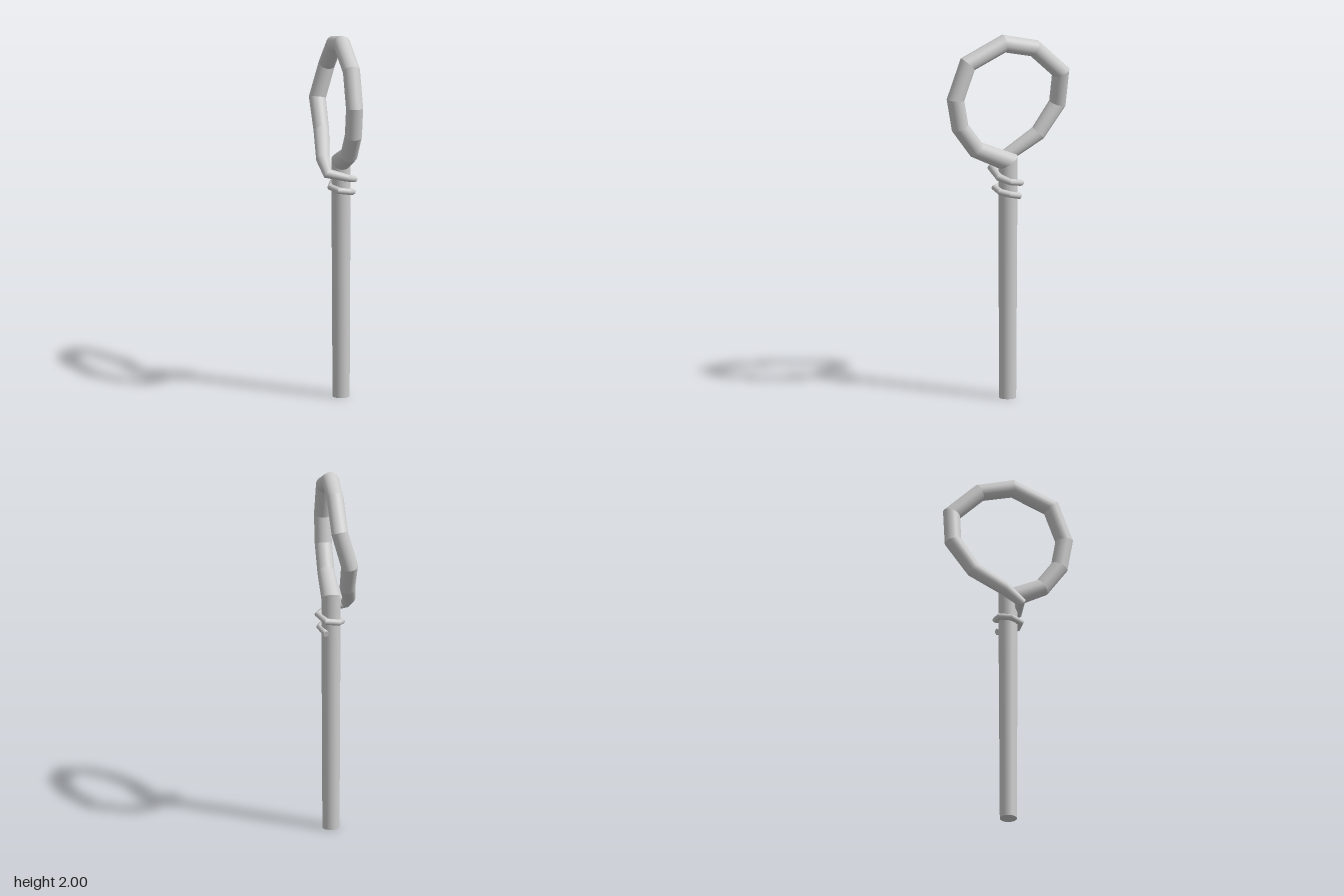
import * as THREE from 'three';

const SIDES = 32;

// Round bar through a list of [x, y, z, radius], with mitred corners and flat end caps
function mitredBar(path, material) {
  const pts = path.map(([x, y, z]) => new THREE.Vector3(x, y, z));
  const dirs = pts.slice(1).map((p, i) => p.clone().sub(pts[i]).normalize());
  const pos = [], nor = [], idx = [];

  // Cut plane at each point: halfway between the neighbouring directions
  const planes = pts.map((_, i) =>
    (dirs[i - 1] || dirs[i]).clone().add(dirs[i] || dirs[i - 1]).normalize());

  const side = new THREE.Vector3(1, 0, 0);
  side.addScaledVector(dirs[0], -side.dot(dirs[0])).normalize();

  dirs.forEach((d, s) => {
    // Carry the frame round the corner so that the segments line up
    if (s) side.applyQuaternion(new THREE.Quaternion().setFromUnitVectors(dirs[s - 1], d));
    const up = d.clone().cross(side);
    const base = pos.length / 3;
    for (const e of [s, s + 1]) {
      for (let k = 0; k <= SIDES; k++) {
        const a = (k / SIDES) * Math.PI * 2;
        const u = side.clone().multiplyScalar(Math.cos(a)).addScaledVector(up, Math.sin(a));
        const r = path[e][3];
        const v = pts[e].clone().addScaledVector(u, r)
          .addScaledVector(d, -r * u.dot(planes[e]) / d.dot(planes[e]));
        pos.push(v.x, v.y, v.z);
        nor.push(u.x, u.y, u.z);
      }
    }
    const row = SIDES + 1;
    for (let k = 0; k < SIDES; k++) {
      const a = base + k, b = a + 1, c = a + row, e = c + 1;
      idx.push(a, b, c, b, e, c);
    }
  });

  // End caps
  const cap = (ringStart, centre, n, flip) => {
    const c = pos.length / 3;
    pos.push(centre.x, centre.y, centre.z);
    nor.push(n.x, n.y, n.z);
    for (let k = 0; k <= SIDES; k++) {
      const j = (ringStart + k) * 3;
      pos.push(pos[j], pos[j + 1], pos[j + 2]);
      nor.push(n.x, n.y, n.z);
      if (k < SIDES) {
        if (flip) idx.push(c, c + 2 + k, c + 1 + k);
        else idx.push(c, c + 1 + k, c + 2 + k);
      }
    }
  };
  const last = (dirs.length * 2 - 1) * (SIDES + 1);
  cap(0, pts[0], dirs[0].clone().negate(), true);
  cap(last, pts[pts.length - 1], dirs[dirs.length - 1], false);

  const g = new THREE.BufferGeometry();
  g.setAttribute('position', new THREE.Float32BufferAttribute(pos, 3));
  g.setAttribute('normal', new THREE.Float32BufferAttribute(nor, 3));
  g.setIndex(idx);
  return new THREE.Mesh(g, material);
}

export function createModel() {
  const group = new THREE.Group();
  group.name = 'loopedRod';
  const grey = new THREE.MeshStandardMaterial({ color: 0xcccccc });

  // One continuous bar: straight shaft, open loop, then a thin tail wound round the shaft
  const rod = mitredBar([
    // shaft
    [0.022, 0, 0.005, 0.046],
    [0.022, 1.3, 0.003, 0.052],
    // loop, up the front, over the top and down the back
    [0.022, 1.385, 0.19, 0.046],
    [0.022, 1.515, 0.285, 0.046],
    [0.022, 1.67, 0.312, 0.046],
    [0.022, 1.86, 0.24, 0.046],
    [0.022, 1.953, 0.028, 0.046],
    [0.022, 1.91, -0.152, 0.045],
    [0.02, 1.765, -0.308, 0.045],
    [-0.032, 1.58, -0.312, 0.045],
    [-0.037, 1.425, -0.2, 0.042],
    // tail crossing beside the shaft
    [-0.07, 1.31, -0.03, 0.036],
    [-0.062, 1.25, 0.052, 0.026],
    // two turns round the shaft
    [0.04, 1.222, 0.062, 0.02],
    [0.088, 1.203, 0.02, 0.017],
    [0.055, 1.185, -0.054, 0.017],
    [-0.01, 1.175, -0.05, 0.017],
    [-0.036, 1.163, 0.01, 0.017],
    [-0.005, 1.155, 0.065, 0.017],
    [0.05, 1.145, 0.062, 0.017],
    [0.08, 1.133, 0.02, 0.017],
    [0.055, 1.113, -0.05, 0.017],
  ], grey);
  rod.name = 'rodWithLoopAndWrap';
  group.add(rod);
  return group;
}
